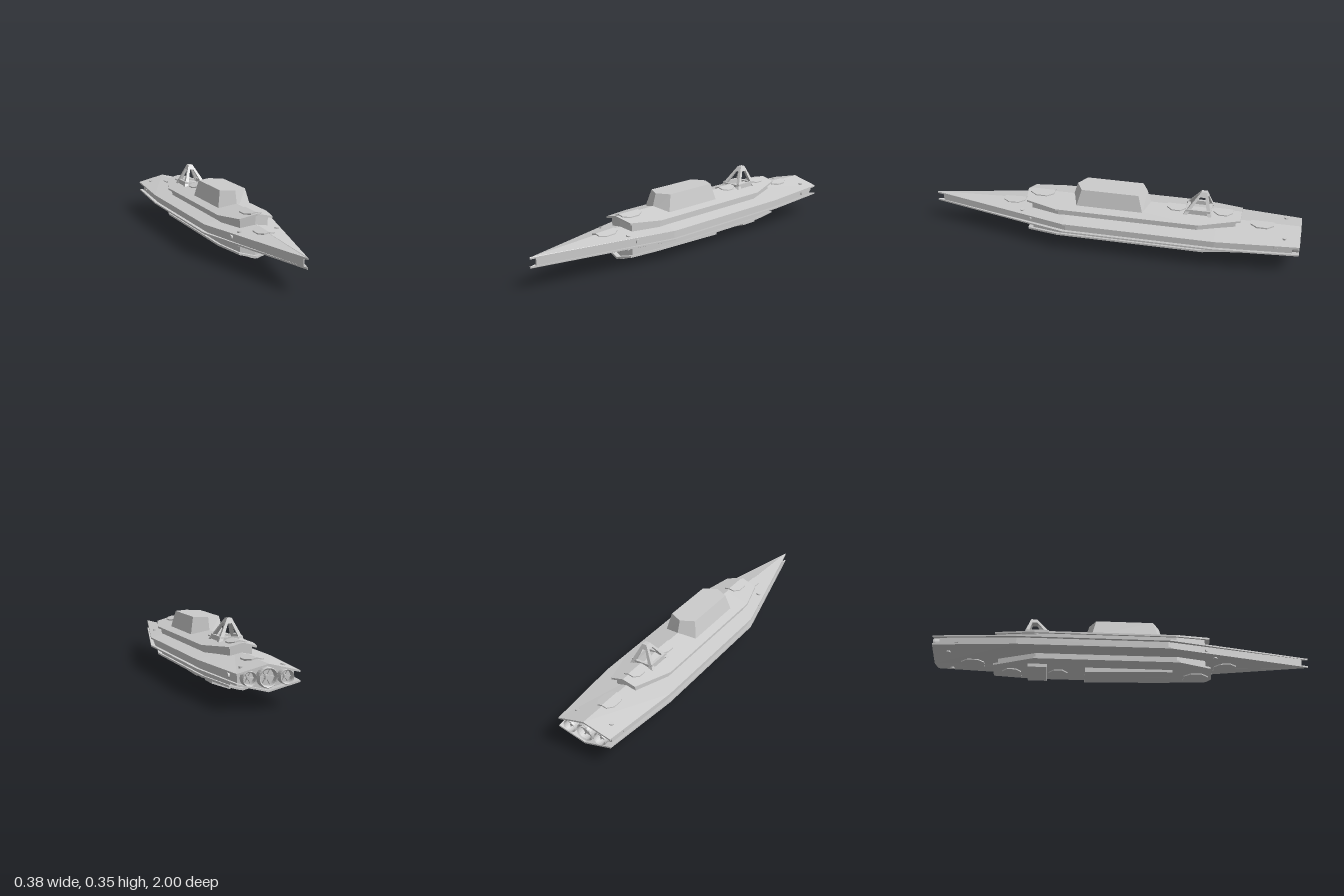
import * as THREE from 'three';

const material = new THREE.MeshStandardMaterial({ color: 0xcccccc, flatShading: true });
const MID = 0.142; // height of the hull's mirror plane

function add(parent, name, geometry, x = 0, y = 0, z = 0) {
  const mesh = new THREE.Mesh(geometry, material);
  mesh.name = name;
  mesh.position.set(x, y, z);
  parent.add(mesh);
  return mesh;
}

// Closed solid through rings of points, each counterclockwise seen from the last ring's end.
function loft(rings) {
  const pos = [];
  const tri = (a, b, c) => pos.push(...a, ...b, ...c);
  const n = rings[0].length;
  for (let i = 0; i < rings.length - 1; i++) {
    for (let j = 0; j < n; j++) {
      const k = (j + 1) % n;
      tri(rings[i][j], rings[i][k], rings[i + 1][k]);
      tri(rings[i][j], rings[i + 1][k], rings[i + 1][j]);
    }
  }
  const first = rings[0], last = rings[rings.length - 1];
  for (let j = 1; j < n - 1; j++) {
    tri(first[0], first[j + 1], first[j]);
    tri(last[0], last[j], last[j + 1]);
  }
  const g = new THREE.BufferGeometry();
  g.setAttribute('position', new THREE.Float32BufferAttribute(pos, 3));
  g.computeVertexNormals();
  return g;
}

// Roof-shaped slab; stations run aft to fore: [z, halfWidth, ridgeY, rimY, centreZ].
function roofSlab(stations, thickness) {
  return loft(stations.map(([z, w, ridge, rim, zc = z]) => [
    [0, ridge, zc], [-w, rim, z], [-w, rim - thickness, z],
    [0, ridge - thickness, zc], [w, rim - thickness, z], [w, rim, z],
  ]));
}

// Hexagon in plan, pointed fore and aft.
const hexRing = (w, y, tipF, sideF, sideB, tipB) => [
  [0, y, tipF], [w, y, sideF], [w, y, sideB], [0, y, tipB], [-w, y, sideB], [-w, y, sideF],
];

// Rectangle in plan.
const rectRing = (x0, x1, y, z0, z1) => [[x0, y, z1], [x1, y, z1], [x1, y, z0], [x0, y, z0]];

const mainRidge = z => (z < 0.23 ? 0.205 : 0.205 - (0.035 * (z - 0.23)) / 0.77);
const mainHalf = z => (z < -0.57 ? 0.15 + ((z + 1) * 0.04) / 0.43
  : z < 0.23 ? 0.19 : (0.19 * (1 - z)) / 0.77);

// Armour, upper tier, hatches and bolts of one side; used again upside down.
function buildHalf() {
  const half = new THREE.Group();
  add(half, 'deckPlate', roofSlab([-1, -0.57, 0.23, 1].map(z =>
    [z, Math.max(mainHalf(z), 0.002), mainRidge(z), 0.168]), 0.008));

  const tierRim = w => 0.255 - 0.25 * w;
  const tier = [[-0.69, 0.07], [-0.48, 0.135], [0.28, 0.135], [0.45, 0.09, 0.465]];
  add(half, 'tierPlate', roofSlab(tier.map(([z, w, zc]) => [z, w, 0.255, tierRim(w), zc]), 0.01));
  const walls = [[-0.665, 0.055], [-0.47, 0.115], [0.27, 0.115], [0.425, 0.075, 0.44]];
  add(half, 'tierWalls', roofSlab(walls.map(([z, w, zc]) => [z, w, 0.247, tierRim(w) - 0.008, zc]), 0.06));

  // Raised hatches straddling the ridge
  for (const [z, len, onTier] of [[-0.8, 0.06], [0.54, 0.06], [-0.35, 0.05, true],
    [-0.595, 0.05, true], [0.38, 0.065, true]]) {
    const slope = onTier ? 0.25 : 0.21;
    const w = 0.048;
    const rings = [[-1, 0.55], [-0.45, 1], [0.45, 1], [1, 0.55]].map(([t, s]) => {
      const zz = z + t * len;
      const ridge = (onTier ? 0.255 : mainRidge(zz)) + 0.006;
      return [zz, w * s, ridge, ridge - slope * w * s];
    });
    add(half, 'hatch', roofSlab(rings, 0.012));
  }

  // Deck bolts
  for (const s of [-1, 1]) {
    for (const z of [-0.92, 0.475]) {
      const t = 0.1 / mainHalf(z);
      const y = mainRidge(z) + (0.168 - mainRidge(z)) * t;
      const bolt = add(half, 'deckBolt', new THREE.CylinderGeometry(0.011, 0.011, 0.014, 10), s * 0.1, y, z);
      bolt.rotation.z = -s * 0.2;
    }
  }
  return half;
}

// Round thruster facing aft
function buildEngine(r) {
  const engine = new THREE.Group();
  engine.name = 'engine';
  const wall = [[r * 0.8, 0], [r * 0.8, 0.04], [r * 0.92, 0.046], [r, 0.038], [r, 0]];
  const ring = new THREE.LatheGeometry(wall.map(([x, y]) => new THREE.Vector2(x, y)).reverse(), 24);
  ring.rotateX(-Math.PI / 2);
  const shell = add(engine, 'engineRing', ring);
  shell.material = material.clone();
  shell.material.side = THREE.DoubleSide;
  add(engine, 'engineHub', new THREE.CylinderGeometry(r * 0.28, r * 0.22, 0.03, 12).rotateX(Math.PI / 2), 0, 0, -0.015);
  for (let i = 0; i < 3; i++) {
    add(engine, 'engineSpoke', new THREE.BoxGeometry(r * 1.65, r * 0.12, 0.012), 0, 0, -0.014)
      .rotation.z = (i * Math.PI) / 3;
  }
  return engine;
}

// Four-legged mast, leaning slightly aft
function buildMast() {
  const mast = new THREE.Group();
  mast.name = 'mast';
  const lerp = THREE.MathUtils.lerp;
  const at = y => {
    const t = (y - 0.25) / 0.1;
    return { x: lerp(0.062, 0.012, t), f: lerp(-0.4, -0.475, t), b: lerp(-0.535, -0.505, t) };
  };
  const leg = (s, front, y, t) => {
    const p = at(y);
    const x = [s * p.x, s * (p.x - t)].sort((a, b) => a - b);
    return front ? rectRing(x[0], x[1], y, p.f - t, p.f) : rectRing(x[0], x[1], y, p.b, p.b + t);
  };
  for (const s of [-1, 1]) {
    for (const front of [true, false]) {
      add(mast, 'mastLeg', loft([leg(s, front, 0.235, 0.022), leg(s, front, 0.33, 0.014)]));
    }
    add(mast, 'mastSill', new THREE.BoxGeometry(0.014, 0.03, 0.125), s * 0.053, 0.25, -0.468);
  }
  for (const z of [-0.41, -0.526]) add(mast, 'mastSill', new THREE.BoxGeometry(0.11, 0.025, 0.014), 0, 0.248, z);
  add(mast, 'mastCap', loft([0.325, 0.35].map(y => {
    const p = at(y);
    return rectRing(-p.x, p.x, y, p.b, p.f);
  })));
  return mast;
}

export function createModel() {
  const ship = new THREE.Group();
  ship.name = 'ship';

  // Recessed core between the plates
  const core = [[-0.965, 0.134], [-0.57, 0.168], [0.22, 0.168], [0.965, 0.003]];
  add(ship, 'hullCore', loft(core.map(([z, w]) => {
    const top = mainRidge(z) - 0.005 - MID;
    return [[0, MID + top, z], [-w, MID + 0.021, z], [-w, MID - 0.021, z],
      [0, MID - top, z], [w, MID - 0.021, z], [w, MID + 0.021, z]];
  })));

  const upper = buildHalf();
  upper.name = 'upperHull';
  const lower = buildHalf();
  lower.name = 'lowerHull';
  lower.scale.y = -1;
  lower.position.y = 2 * MID;
  ship.add(upper, lower);

  // Bridge block
  add(ship, 'bridge', loft([
    hexRing(0.091, 0.225, 0.218, 0.178, -0.18, -0.22),
    hexRing(0.071, 0.32, 0.188, 0.15, -0.155, -0.19),
  ]));
  ship.add(buildMast());

  // Belly panel and keel wedge
  add(ship, 'bellyPanel', loft([[-0.21, 0.021], [0.25, 0.034]].map(([z, y]) =>
    [[-0.071, y, z], [0.071, y, z], [0.071, 0.06, z], [-0.071, 0.06, z]])));
  add(ship, 'keelWedge', loft([-0.51, -0.41].map(z =>
    [[0, 0.002, z], [0.091, 0.034, z], [0.091, 0.06, z], [-0.091, 0.06, z], [-0.091, 0.034, z]])));

  // Side ports
  for (const s of [-1, 1]) {
    for (const [z, x, turn] of [[0.43, 0.123, -0.22], [-0.88, 0.142, 0.085]]) {
      const port = add(ship, 'sidePort', new THREE.CylinderGeometry(0.012, 0.012, 0.016, 12).rotateZ(Math.PI / 2), s * x, MID, z);
      port.rotation.y = s * turn;
    }
  }

  for (const [x, r] of [[-0.088, 0.035], [0, 0.047], [0.088, 0.035]]) {
    const engine = buildEngine(r);
    engine.position.set(x, MID, -0.955);
    ship.add(engine);
  }
  return ship;
}
